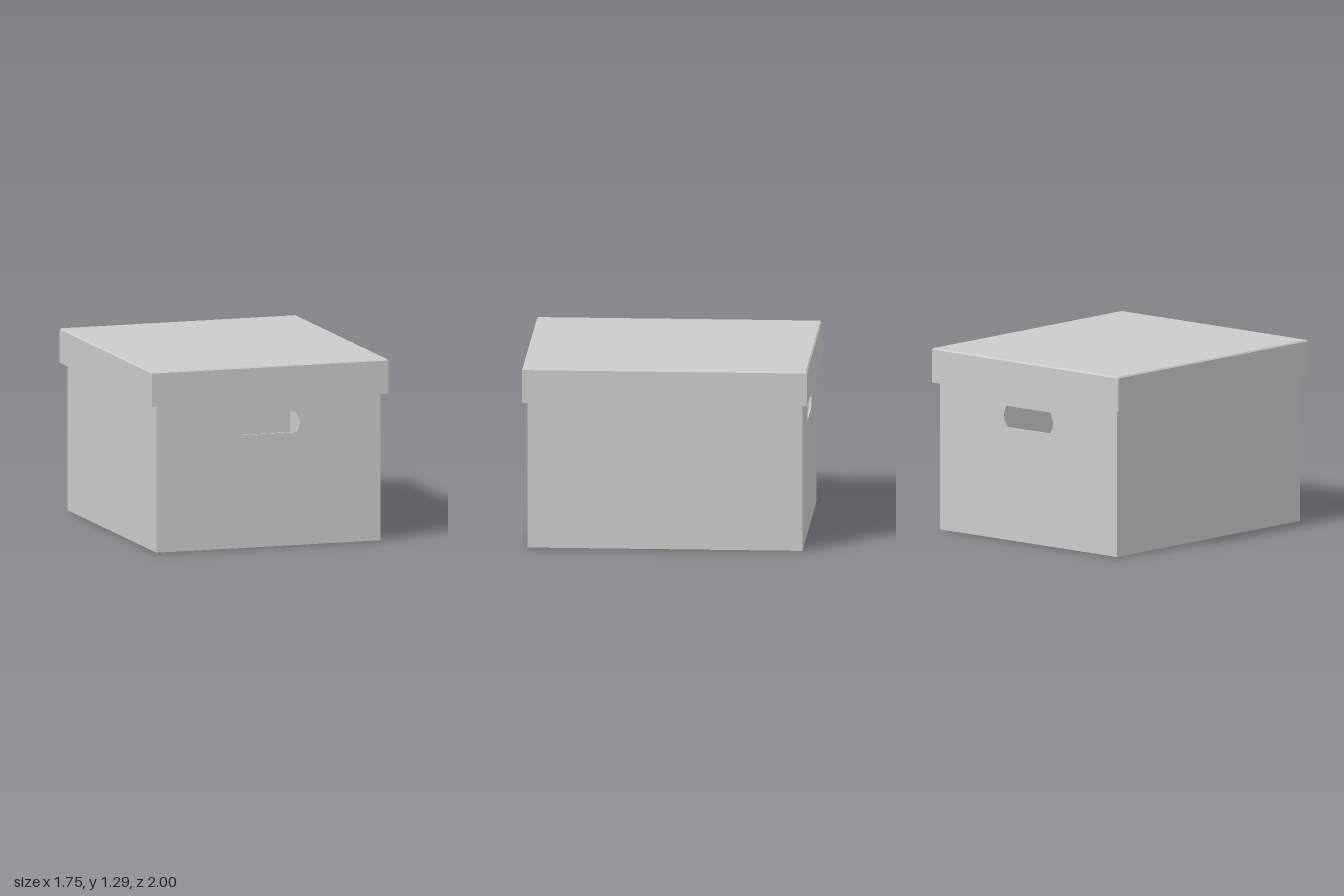
import * as THREE from 'three';

const material = new THREE.MeshStandardMaterial({ color: 0xcccccc, flatShading: true });

const WALL = 0.015;
const BODY = { x: 0.83, z: 0.965, h: 1.265 };
const LID = { x: 0.875, z: 1, bottom: 1.045, top: 1.29, chamfer: 0.01 };

function part(name, geometry, parent) {
  const mesh = new THREE.Mesh(geometry, material);
  mesh.name = name;
  parent.add(mesh);
  return mesh;
}

// Upright panel with a hand hole whose ends bulge outward
function handlePanel() {
  const shape = new THREE.Shape([
    new THREE.Vector2(-BODY.x, 0), new THREE.Vector2(BODY.x, 0),
    new THREE.Vector2(BODY.x, BODY.h), new THREE.Vector2(-BODY.x, BODY.h),
  ]);
  const end = [[0.205, 0.802], [0.224, 0.84], [0.232, 0.878], [0.224, 0.916], [0.205, 0.954]];
  const outline = [...end, ...end.map(([x, y]) => [-x, y]).reverse()];
  shape.holes.push(new THREE.Path(outline.map(([x, y]) => new THREE.Vector2(x, y)).reverse()));
  return new THREE.ExtrudeGeometry(shape, { depth: WALL, bevelEnabled: false });
}

// Hollow rectangular lid: a four-sided lathe turned square and stretched to size
function lidGeometry() {
  const inner = 1 - WALL, { bottom, top, chamfer } = LID;
  const profile = [
    [0, top - WALL], [inner, top - WALL], [inner, bottom], [1, bottom],
    [1, top - chamfer], [1 - chamfer, top], [0, top],
  ].map(([r, y]) => new THREE.Vector2(r * Math.SQRT2, y));
  return new THREE.LatheGeometry(profile, 4).rotateY(Math.PI / 4).scale(LID.x, 1, LID.z);
}

export function createModel() {
  const model = new THREE.Group();
  model.name = 'storageBox';

  const body = new THREE.Group();
  body.name = 'body';
  model.add(body);

  // Front and back panels with hand holes
  part('frontPanel', handlePanel(), body).position.z = BODY.z - WALL;
  part('backPanel', handlePanel(), body).position.z = -BODY.z;

  // Plain side panels between them
  for (const [name, side] of [['leftPanel', 1], ['rightPanel', -1]]) {
    const panel = new THREE.BoxGeometry(WALL, BODY.h, 2 * (BODY.z - WALL));
    part(name, panel, body).position.set(side * (BODY.x - WALL / 2), BODY.h / 2, 0);
  }

  // Floor
  const floor = new THREE.BoxGeometry(2 * (BODY.x - WALL), WALL, 2 * (BODY.z - WALL));
  part('floor', floor, body).position.y = WALL / 2;

  // Overhanging lid
  part('lid', lidGeometry(), model);

  return model;
}
